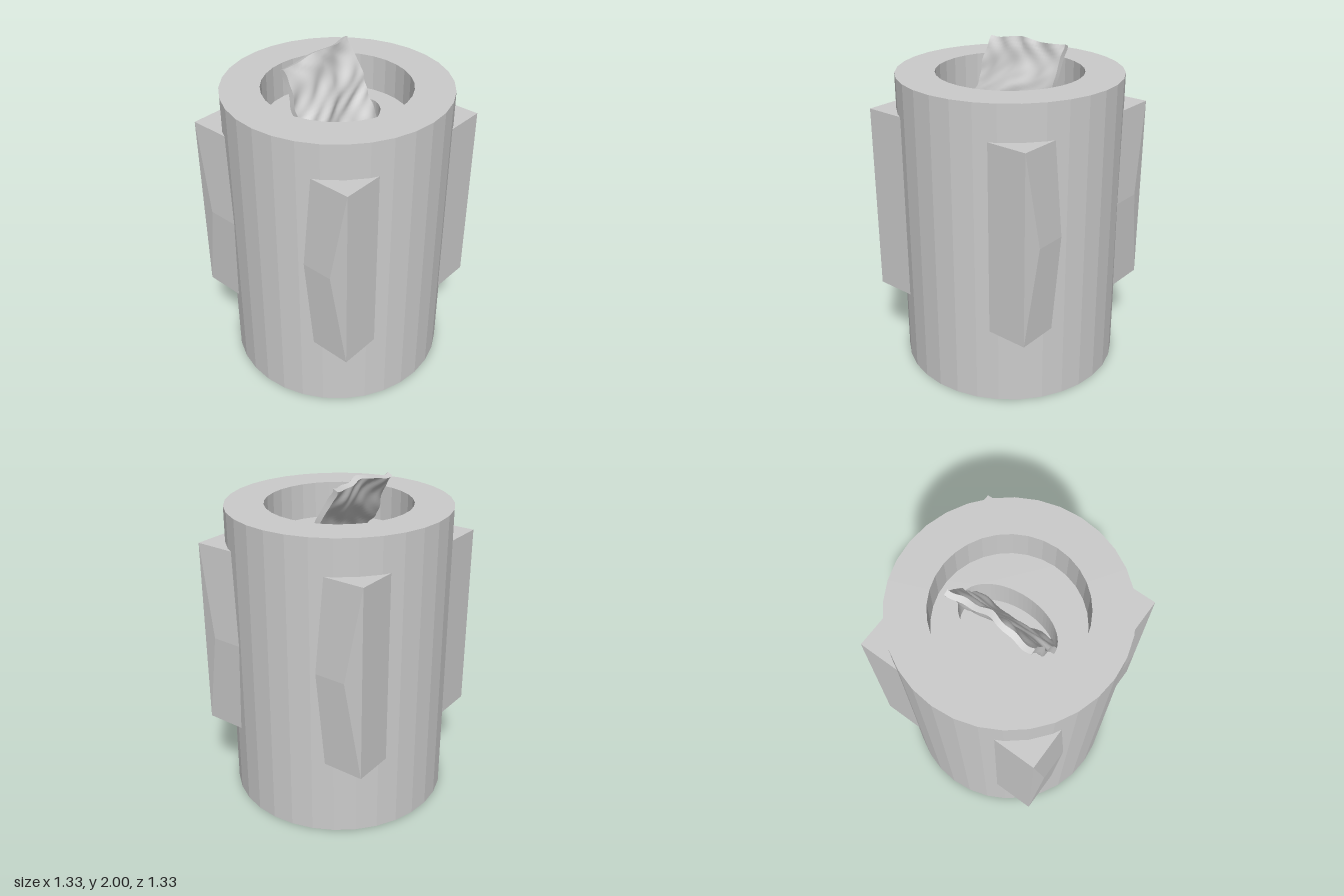
import * as THREE from 'three';
import { ConvexGeometry } from 'three/addons/geometries/ConvexGeometry.js';

const SIDES = 32;
const flat = new THREE.MeshStandardMaterial({ color: 0xcccccc, flatShading: true });
const smooth = new THREE.MeshStandardMaterial({ color: 0xcccccc });

function add(group, name, geometry, material) {
  const mesh = new THREE.Mesh(geometry, material);
  mesh.name = name;
  group.add(mesh);
  return mesh;
}

// Thick-walled pipe, open at both ends
function tubeGeometry(inner, outer, height) {
  const profile = [[inner, 0], [outer, 0], [outer, height], [inner, height], [inner, 0]];
  return new THREE.LatheGeometry(profile.map(([r, y]) => new THREE.Vector2(r, y)), SIDES);
}

// Corner block: straight outer edge, front/back face folded outward at mid height
function blockGeometry(sx, sz) {
  const low = 0.47, mid = 1.05, high = 1.62, out = 0.577;
  const points = [];
  for (const y of [low, high]) {
    for (const [x, z] of [[out, out], [out, 0.3], [0.42, 0.3], [0.3, 0.42], [0.3, out]]) {
      points.push(new THREE.Vector3(x * sx, y, z * sz));
    }
  }
  for (const x of [0.475, 0.26]) points.push(new THREE.Vector3(x * sx, mid, 0.6 * sz));
  return new ConvexGeometry(points);
}

// Plate inside the pipe with an oval socket
function floorGeometry(depth) {
  const shape = new THREE.Shape().absarc(0, 0, 0.44, 0, Math.PI * 2);
  shape.holes.push(new THREE.Path().absellipse(-0.005, 0.01, 0.193, 0.31, 0, Math.PI * 2, true));
  const geometry = new THREE.ExtrudeGeometry(shape, { depth, bevelEnabled: false, curveSegments: SIDES });
  return geometry.rotateX(-Math.PI / 2);
}

// Flat wick with a crumpled surface and uneven edges
function wickGeometry() {
  const geometry = new THREE.BoxGeometry(0.035, 0.62, 0.55, 2, 32, 32);
  const p = geometry.attributes.position;
  for (let i = 0; i < p.count; i++) {
    const x = p.getX(i), y = p.getY(i), z = p.getZ(i);
    const bend = 0.011 * Math.sin(15 * z + 5 * y) + 0.009 * Math.sin(24 * y + 9 * z + 1);
    const dents = 0.009 * Math.sin(38 * z + 6 * Math.sin(9 * y)) * Math.sin(21 * y + 2);
    const ragged = 0.008 * Math.sin(17 * z + 1) - 0.025 * z;
    p.setXYZ(i,
      x + bend + dents * (x < 0 ? 0.7 : 1),
      y + ragged * (y > 0 ? 1 : 0.6),
      z + 0.006 * Math.sin(18 * y) * Math.sign(z));
  }
  geometry.computeVertexNormals();
  return geometry;
}

export function createModel() {
  const model = new THREE.Group();
  model.name = 'wickHolder';

  add(model, 'tubeBody', tubeGeometry(0.435, 0.665, 1.83), flat);

  // Four mirrored corner blocks
  for (const sx of [1, -1]) {
    for (const sz of [1, -1]) {
      const name = (sz > 0 ? 'front' : 'back') + (sx > 0 ? 'Left' : 'Right') + 'Block';
      add(model, name, blockGeometry(sx, sz), flat);
    }
  }

  // Recessed floor and the bottom of its socket
  add(model, 'innerFloor', floorGeometry(0.31), flat).position.y = 1.3;
  const base = add(model, 'socketBottom', new THREE.CylinderGeometry(0.438, 0.438, 0.1, SIDES), flat);
  base.position.y = 1.345;

  // Wick leaning out of the socket
  const wick = add(model, 'wick', wickGeometry(), smooth);
  wick.position.set(-0.03, 1.696, 0);
  wick.rotation.z = 0.428;

  return model;
}
